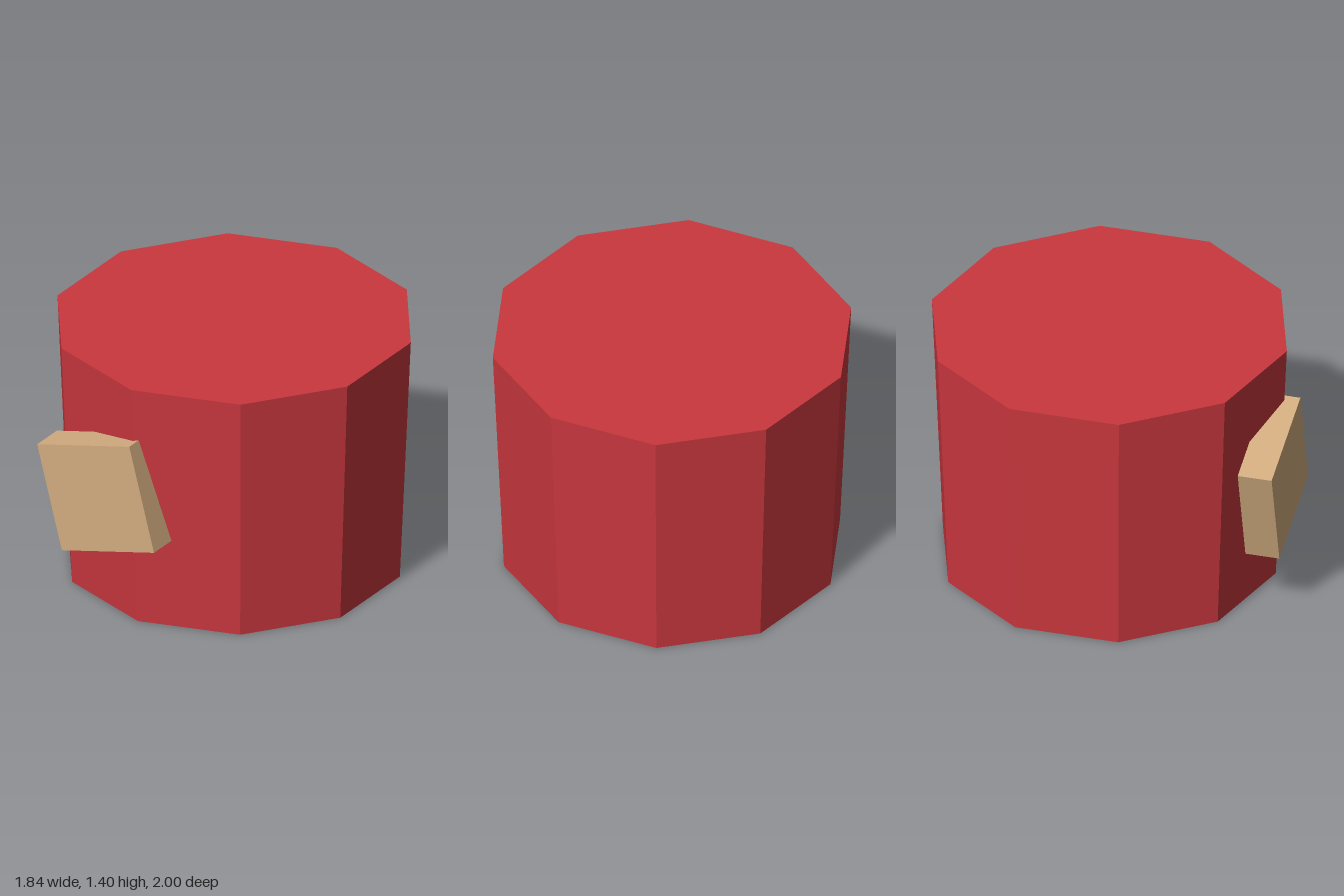
import * as THREE from 'three';

export function createModel() {
  const model = new THREE.Group();
  const red = new THREE.MeshStandardMaterial({ name: 'red', color: 0xc9373e, flatShading: true });
  const tan = new THREE.MeshStandardMaterial({ name: 'tan', color: 0xd2ac7f, flatShading: true });

  // Ten-sided drum, slightly wider at the top, with a corner facing the front
  const drum = new THREE.Mesh(new THREE.CylinderGeometry(0.967, 0.907, 1.4, 10), red);
  drum.name = 'drum';
  drum.position.set(0, 0.7, -0.033);
  model.add(drum);

  // Tilted square patch sunk into the front
  const patch = new THREE.Mesh(new THREE.BoxGeometry(0.605, 0.605, 0.185), tan);
  patch.name = 'patch';
  patch.position.set(-0.183, 0.73, 0.9075);
  patch.rotation.z = THREE.MathUtils.degToRad(15);
  model.add(patch);

  return model;
}
